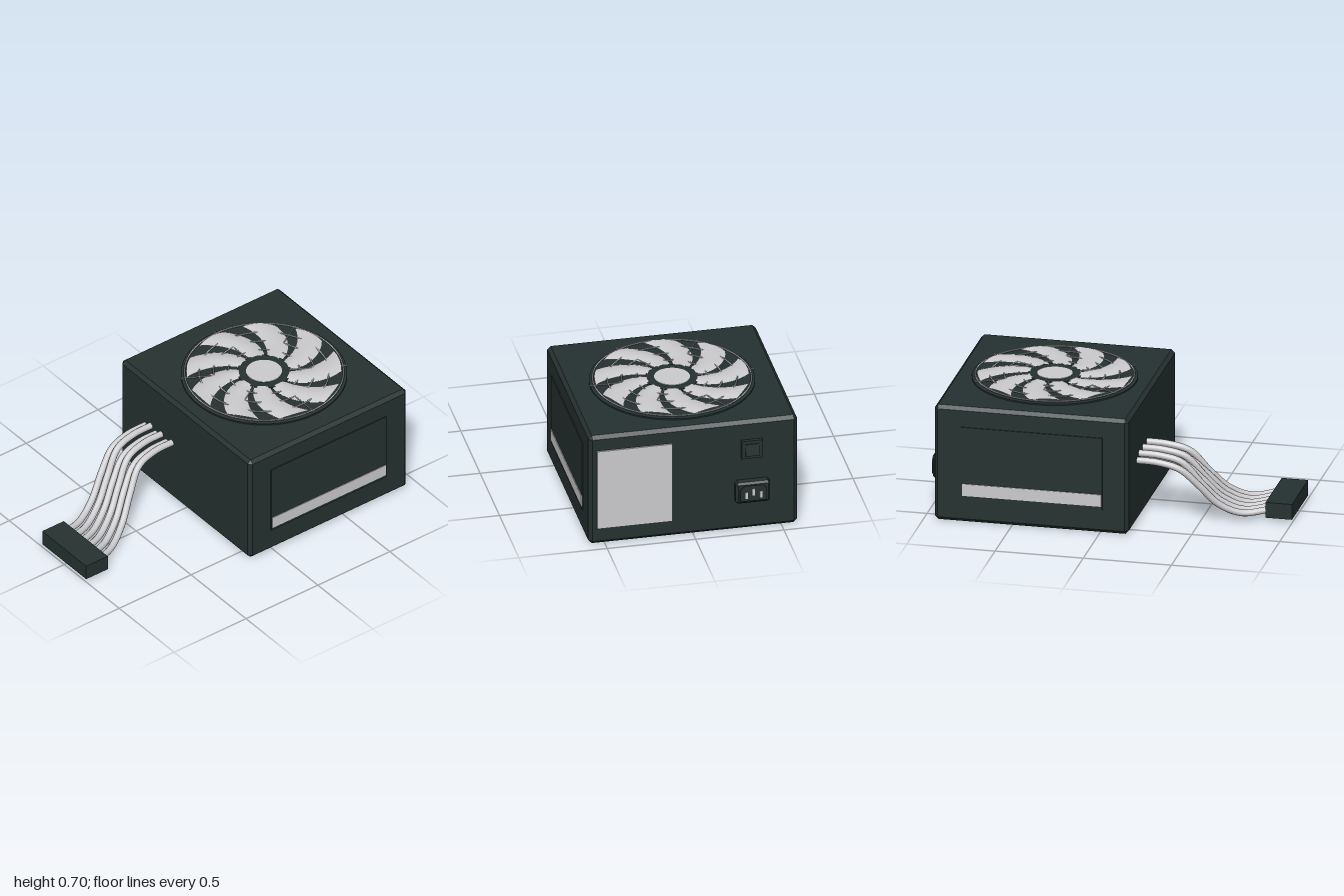
import * as THREE from 'three';
import { ConvexGeometry } from 'three/addons/geometries/ConvexGeometry.js';
import { ParametricGeometry } from 'three/addons/geometries/ParametricGeometry.js';

const dark = new THREE.MeshStandardMaterial({ name: 'darkCasing', color: 0x253130 });
const light = new THREE.MeshStandardMaterial({ name: 'lightGrey', color: 0xcbcbce });
const blade = new THREE.MeshStandardMaterial({ name: 'bladeGrey', color: 0xcbcbce, side: THREE.DoubleSide });
const wire = new THREE.MeshStandardMaterial({ name: 'wireGrey', color: 0xa6a9ab });

function add(parent, name, geometry, material, x = 0, y = 0, z = 0) {
  const mesh = new THREE.Mesh(geometry, material);
  mesh.name = name;
  mesh.position.set(x, y, z);
  parent.add(mesh);
  return mesh;
}

// Box given by its extents
function box(parent, name, material, [x0, x1], [y0, y1], [z0, z1]) {
  return add(parent, name, new THREE.BoxGeometry(x1 - x0, y1 - y0, z1 - z0), material,
    (x0 + x1) / 2, (y0 + y1) / 2, (z0 + z1) / 2);
}

// Box with every edge cut by a flat chamfer c
function chamferBox(w, h, d, c) {
  const pts = [];
  for (const sx of [-1, 1]) for (const sy of [-1, 1]) for (const sz of [-1, 1]) {
    const X = sx * w / 2, Y = sy * h / 2, Z = sz * d / 2;
    pts.push(new THREE.Vector3(X, Y - sy * c, Z - sz * c),
      new THREE.Vector3(X - sx * c, Y, Z - sz * c),
      new THREE.Vector3(X - sx * c, Y - sy * c, Z));
  }
  return new ConvexGeometry(pts);
}

function makeFan() {
  const fan = new THREE.Group();
  fan.name = 'fan';
  fan.position.set(0, 0.675, -0.39);
  add(fan, 'fanPlate', new THREE.CylinderGeometry(0.46, 0.46, 0.014, 64), dark, 0, 0.002);
  add(fan, 'hub', new THREE.CylinderGeometry(0.15, 0.15, 0.02, 40), dark, 0, 0.013);
  add(fan, 'hubCap', new THREE.CylinderGeometry(0.1, 0.1, 0.006, 40), light, 0, 0.023);

  // Swept, cambered blades
  const bladeShape = (u, v, p) => {
    const r = 0.14 + 0.29 * u;
    const sweep = 0.5 * Math.pow(u, 1.3);
    const half = 0.32 - 0.1 * u;
    const a = sweep + half * (2 * v - 1);
    p.set(r * Math.cos(a), 0.01 + 0.018 * Math.sin(Math.PI * (0.1 + 0.75 * v)), -r * Math.sin(a));
  };
  const bladeGeometry = new ParametricGeometry(bladeShape, 10, 8);
  for (let i = 0; i < 9; i++) {
    add(fan, 'fanBlade', bladeGeometry, blade).rotation.y = THREE.MathUtils.degToRad(38 + i * 40);
  }

  // Wire guard: rings and six spokes
  for (const r of [0.2, 0.28, 0.36, 0.44]) {
    add(fan, 'guardRing', new THREE.TorusGeometry(r, 0.005, 6, 64), wire, 0, 0.019).rotation.x = Math.PI / 2;
  }
  for (let i = 0; i < 6; i++) {
    const spoke = new THREE.Group();
    spoke.name = 'guardSpoke';
    spoke.rotation.y = i * Math.PI / 3;
    add(spoke, 'spokeWire', new THREE.CylinderGeometry(0.004, 0.004, 0.32, 6), wire, 0.305, 0.02)
      .rotation.z = Math.PI / 2;
    fan.add(spoke);
  }
  return fan;
}

function makeCables() {
  const cables = new THREE.Group();
  cables.name = 'cables';
  // z, y and sideways progress along the bundle
  const path = [[0.14, 0.375, 0], [0.28, 0.37, 0], [0.4, 0.335, 0.06], [0.5, 0.22, 0.24],
    [0.6, 0.105, 0.48], [0.72, 0.045, 0.74], [0.87, 0.06, 1.02]];
  for (let i = 0; i < 6; i++) {
    const start = -0.36 + i * 0.048, end = -0.17 + i * 0.062;
    const lift = i % 2 ? 0.01 : -0.015;
    const points = path.map(([z, y, t], k) =>
      new THREE.Vector3(start + (end - start) * t, y + (k < 3 ? lift : 0), z));
    add(cables, 'cable', new THREE.TubeGeometry(new THREE.CatmullRomCurve3(points), 40, 0.019, 10), light);
  }
  box(cables, 'connector', dark, [-0.2, 0.2], [0.02, 0.11], [0.85, 1]);
  return cables;
}

function makeBack() {
  const back = new THREE.Group();
  back.name = 'backFittings';
  box(back, 'ratingPlate', light, [0.12, 0.545], [0.1, 0.585], [-0.949, -0.94]);

  // Rocker switch
  box(back, 'switchFrame', dark, [-0.39, -0.27], [0.45, 0.56], [-0.96, -0.93]);
  box(back, 'switchRocker', dark, [-0.37, -0.29], [0.47, 0.54], [-0.97, -0.955]).rotation.x = 0.12;

  // Power inlet with three pins
  add(back, 'inletBase', chamferBox(0.195, 0.13, 0.06, 0.012), dark, -0.33, 0.247, -0.957);
  const rim = new THREE.Shape([[-0.075, -0.045], [0.075, -0.045], [0.075, 0.025], [0.05, 0.05],
    [-0.05, 0.05], [-0.075, 0.025]].map(([x, y]) => new THREE.Vector2(x, y)));
  add(back, 'inletFace', new THREE.ExtrudeGeometry(rim, { depth: 0.012, bevelEnabled: false }),
    dark, -0.33, 0.247, -0.995);
  for (const [dx, dy] of [[-0.04, -0.008], [0, 0.01], [0.04, -0.008]]) {
    add(back, 'inletPin', new THREE.BoxGeometry(0.014, 0.04, 0.008), light, -0.33 + dx, 0.247 + dy, -0.996);
  }
  return back;
}

export function createModel() {
  const model = new THREE.Group();
  model.name = 'powerSupply';
  add(model, 'casing', chamferBox(1.18, 0.676, 1.1, 0.02), dark, 0, 0.338, -0.39);

  // Raised side panels with a pale stripe
  for (const s of [-1, 1]) {
    add(model, 'sidePanel', new THREE.BoxGeometry(0.012, 0.42, 0.8), dark, s * 0.59, 0.35, -0.385);
    add(model, 'sideStripe', new THREE.BoxGeometry(0.006, 0.07, 0.79), light, s * 0.597, 0.193, -0.385);
  }
  model.add(makeFan(), makeCables(), makeBack());
  return model;
}
